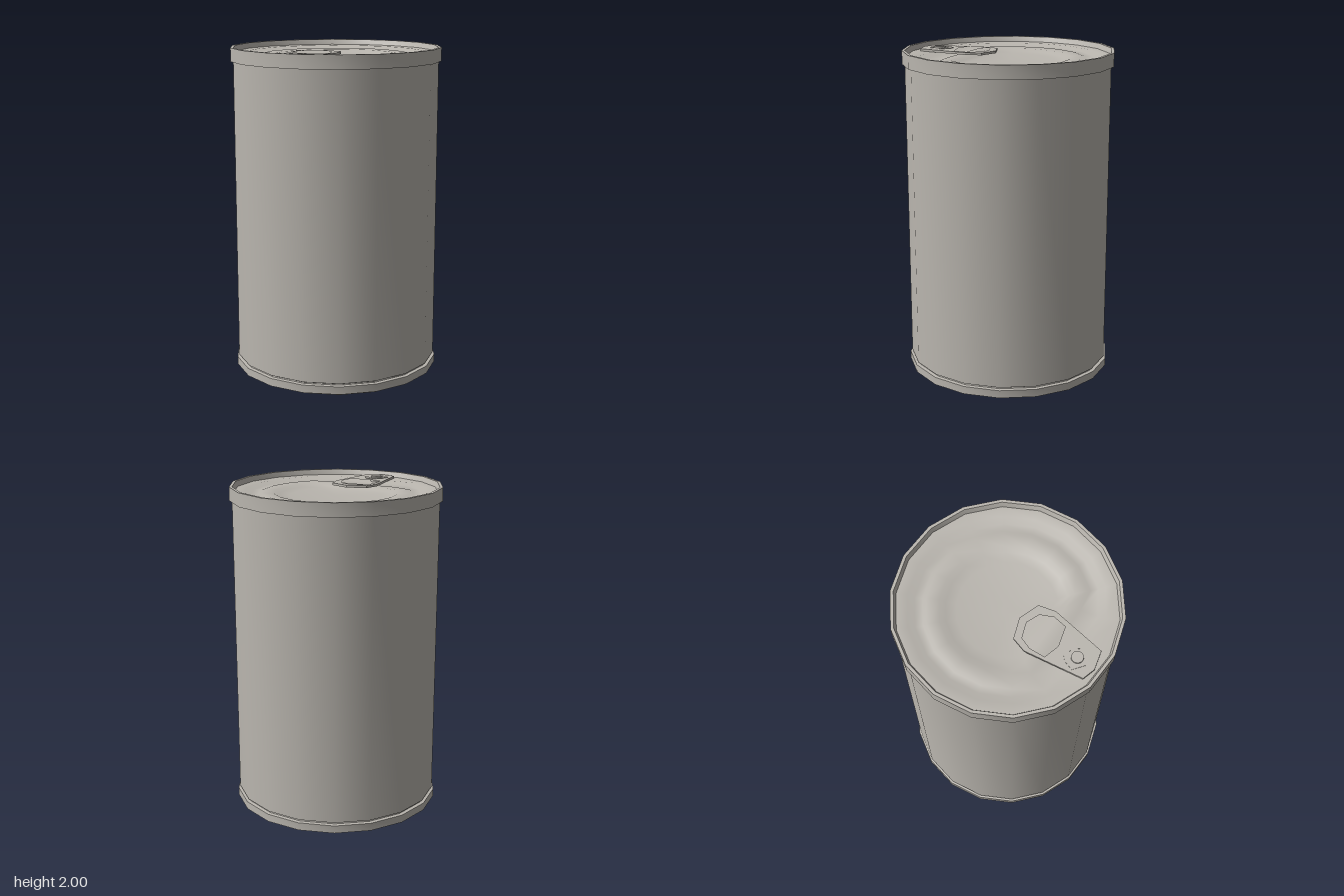
import * as THREE from 'three';
import { toCreasedNormals } from 'three/addons/utils/BufferGeometryUtils.js';

const SIDES = 18;
const CREASE = 0.65;
const metal = new THREE.MeshStandardMaterial({ color: 0xbab6af });
metal.name = 'tin grey';

function add(parent, name, geometry) {
  const mesh = new THREE.Mesh(geometry, metal);
  mesh.name = name;
  parent.add(mesh);
  return mesh;
}

// Turned sheet metal with a corner of the polygon on the x axis
function turned(profile) {
  const points = profile.map(([r, y]) => new THREE.Vector2(r, y));
  return new THREE.LatheGeometry(points, SIDES, Math.PI / 2);
}

// Flat plate from [x, z] outlines, lying between y and y + height
function plate(outline, hole, y, height) {
  const toPoints = (list) => list.map(([x, z]) => new THREE.Vector2(x, -z));
  const shape = new THREE.Shape(toPoints(outline));
  if (hole) shape.holes.push(new THREE.Path(toPoints(hole)));
  const geometry = new THREE.ExtrudeGeometry(shape, { depth: height, bevelEnabled: false });
  return geometry.rotateX(-Math.PI / 2).translate(0, y, 0);
}

// Pressed lid: every ring is [radius, y, chord], cut straight beside the tab
function lidGeometry() {
  const rings = [
    [0.612, 1.968, 1], [0.55, 1.966, 0.47], [0.51, 1.952, 0.43],
    [0.465, 1.952, 0.33], [0.445, 1.957, 0.315], [0.375, 1.954, 0.255],
    [0.34, 1.942, 0.225], [0.28, 1.934, 0.19], [0, 1.934, 1],
  ];
  const geometry = turned(rings);
  const pos = geometry.attributes.position;
  for (let i = 0; i < pos.count; i++) {
    const chord = rings[i % rings.length][2];
    const x = pos.getX(i), z = pos.getZ(i);
    const along = -(x * 0.978 - z * 0.208);
    if (along > chord) {
      // Slide along the tab axis onto the chord
      pos.setX(i, x + (along - chord) * 0.978);
      pos.setZ(i, z - (along - chord) * 0.208);
    }
  }
  return toCreasedNormals(geometry, CREASE);
}

export function createModel() {
  const can = new THREE.Group();
  can.name = 'tinCan';

  add(can, 'body', toCreasedNormals(turned([[0.61, 0.068], [0.624, 0.075], [0.624, 1.925]]), CREASE));

  add(can, 'topRim', toCreasedNormals(turned([
    [0.618, 1.918], [0.64, 1.918], [0.64, 2], [0.622, 2], [0.608, 1.96],
  ]), CREASE));

  add(can, 'bottomRim', toCreasedNormals(turned([
    [0.585, 0.025], [0.59, 0], [0.61, 0], [0.612, 0.01], [0.635, 0.012],
    [0.635, 0.06], [0.612, 0.062], [0.61, 0.07],
  ]), CREASE));

  add(can, 'bottomPanel', toCreasedNormals(turned([
    [0, 0.045], [0.36, 0.045], [0.39, 0.035], [0.45, 0.035],
    [0.47, 0.03], [0.53, 0.03], [0.55, 0.022], [0.59, 0.022],
  ]), CREASE));

  add(can, 'lid', lidGeometry());

  // Ring pull riveted to the lid
  const pull = new THREE.Group();
  pull.name = 'ringPull';
  can.add(pull);
  const outline = [
    [-0.575, 0.01], [-0.25, -0.112], [-0.16, -0.105], [-0.095, 0],
    [-0.11, 0.125], [-0.2, 0.17], [-0.53, 0.19], [-0.58, 0.09],
  ];
  const fingerHole = [
    [-0.35, -0.055], [-0.26, -0.08], [-0.19, -0.07], [-0.14, 0.01],
    [-0.155, 0.09], [-0.22, 0.14], [-0.3, 0.145], [-0.355, 0.04],
  ];
  add(pull, 'tab', plate(outline, fingerHole, 1.968, 0.014));

  const collar = [
    [-0.5, 0], [-0.44, 0.005], [-0.39, 0.04], [-0.385, 0.085], [-0.43, 0.13],
    [-0.445, 0.115], [-0.415, 0.08], [-0.42, 0.05], [-0.445, 0.025],
    [-0.49, 0.03], [-0.51, 0.07], [-0.49, 0.115], [-0.5, 0.13], [-0.535, 0.075],
  ];
  add(pull, 'collar', plate(collar, null, 1.98, 0.005));

  const rivet = add(pull, 'rivet', toCreasedNormals(new THREE.CylinderGeometry(0.034, 0.038, 0.04, 14), CREASE));
  rivet.position.set(-0.47, 1.97, 0.07);

  return can;
}
